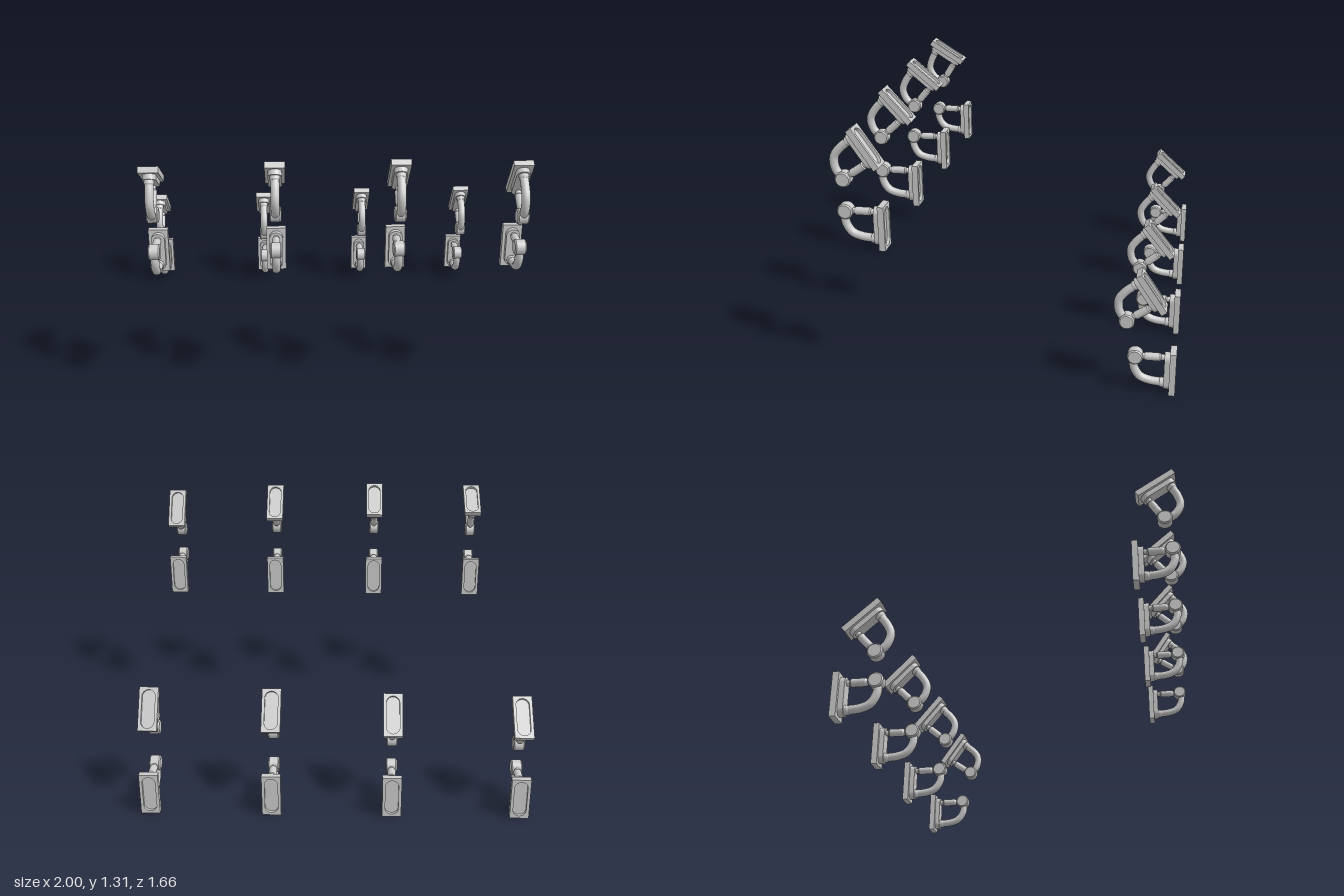
import * as THREE from 'three';

const material = new THREE.MeshStandardMaterial({ color: 0xcccccc });

function mesh(name, geometry, x = 0, y = 0, z = 0) {
  const m = new THREE.Mesh(geometry, material);
  m.name = name;
  m.position.set(x, y, z);
  return m;
}

// Upright slot outline with round ends
function slot(Type, w, h) {
  const r = w / 2, s = h / 2 - r, p = new Type();
  p.absarc(0, s, r, 0, Math.PI, false);
  p.absarc(0, -s, r, Math.PI, Math.PI * 2, false);
  p.closePath();
  return p;
}

function extrude(shape, depth) {
  return new THREE.ExtrudeGeometry(shape, { depth, bevelEnabled: false, curveSegments: 12 });
}

// Lathe profile of [radius, height] pairs with crisp edges between the bands
function turned(points, segments = 24) {
  const path = new THREE.CurvePath();
  const v = points.map(([r, h]) => new THREE.Vector2(r, h));
  for (let i = 1; i < v.length; i++) path.add(new THREE.LineCurve(v[i - 1], v[i]));
  const profile = [];
  path.curves.forEach((c) => profile.push(c.v1, c.v2));
  return new THREE.LatheGeometry(profile, segments);
}

// Geometries shared by all brackets; the plate's back lies on z = 0
function bracketParts() {
  const frame = new THREE.Shape([
    new THREE.Vector2(-0.048, -0.111), new THREE.Vector2(0.048, -0.111),
    new THREE.Vector2(0.048, 0.111), new THREE.Vector2(-0.048, 0.111),
  ]);
  frame.holes.push(slot(THREE.Path, 0.066, 0.194));
  const armCurve = new THREE.CatmullRomCurve3([
    [0.062, 0.198], [0.035, 0.205], [0.0, 0.2], [-0.042, 0.172], [-0.06, 0.125], [-0.066, 0.05],
  ].map(([y, z]) => new THREE.Vector3(0, y, z)));
  return {
    frame: extrude(frame, 0.031),
    pad: extrude(slot(THREE.Shape, 0.066, 0.194), 0.042),
    arm: new THREE.TubeGeometry(armCurve, 28, 0.021, 16),
    collar: turned([[0, 0], [0.024, 0], [0.024, 0.018], [0.02, 0.024], [0, 0.024]]).rotateX(Math.PI / 2),
    rod: turned([[0.015, 0], [0.015, 0.018], [0.02, 0.024], [0.02, 0.092], [0.015, 0.1], [0.015, 0.13]])
      .rotateX(Math.PI / 2),
    knuckle: turned([[0, -0.028], [0.032, -0.028], [0.038, -0.022], [0.038, 0.022], [0.032, 0.028], [0, 0.028]])
      .rotateZ(-Math.PI / 2),
  };
}

function bracket(name, parts) {
  const g = new THREE.Group();
  g.name = name;
  g.add(
    mesh('plateFrame', parts.frame),
    mesh('platePad', parts.pad, 0, 0, 0.015),
    mesh('curvedArm', parts.arm),
    mesh('armCollar', parts.collar, 0, -0.066, 0.055),
    mesh('straightRod', parts.rod, 0, 0.069, 0.055),
    mesh('knuckle', parts.knuckle, 0, 0.069, 0.198),
  );
  return g;
}

export function createModel() {
  const model = new THREE.Group();
  model.name = 'bracketSet';
  const parts = bracketParts();

  // Per row: wall bracket centre, then each tilted bracket as
  // [x, y of top edge, z of top edge, tilt in degrees]
  const rows = [
    { name: 'back', y: 0.111, z: -0.83, tilted: [
      [-0.954, 0.596, -0.645, 48], [-0.312, 0.602, -0.645, 44],
      [0.294, 0.623, -0.647, 39], [0.909, 0.626, -0.65, 34]] },
    { name: 'front', y: 0.787, z: 0.556, tilted: [
      [-0.805, 1.297, 0.772, 58], [-0.225, 1.306, 0.752, 50],
      [0.366, 1.302, 0.725, 42], [0.95, 1.276, 0.69, 34]] },
  ];

  for (const row of rows) {
    for (const [x, topY, topZ, degrees] of row.tilted) {
      const wall = bracket(row.name + 'UprightBracket', parts);
      wall.position.set(x, row.y, row.z);

      // Turned upside down, then leaned forward
      const lean = THREE.MathUtils.degToRad(degrees);
      const tilted = bracket(row.name + 'TiltedBracket', parts);
      tilted.rotation.set(lean, 0, Math.PI);
      tilted.position.set(x, topY - 0.111 * Math.cos(lean), topZ - 0.111 * Math.sin(lean));
      model.add(wall, tilted);
    }
  }
  return model;
}
